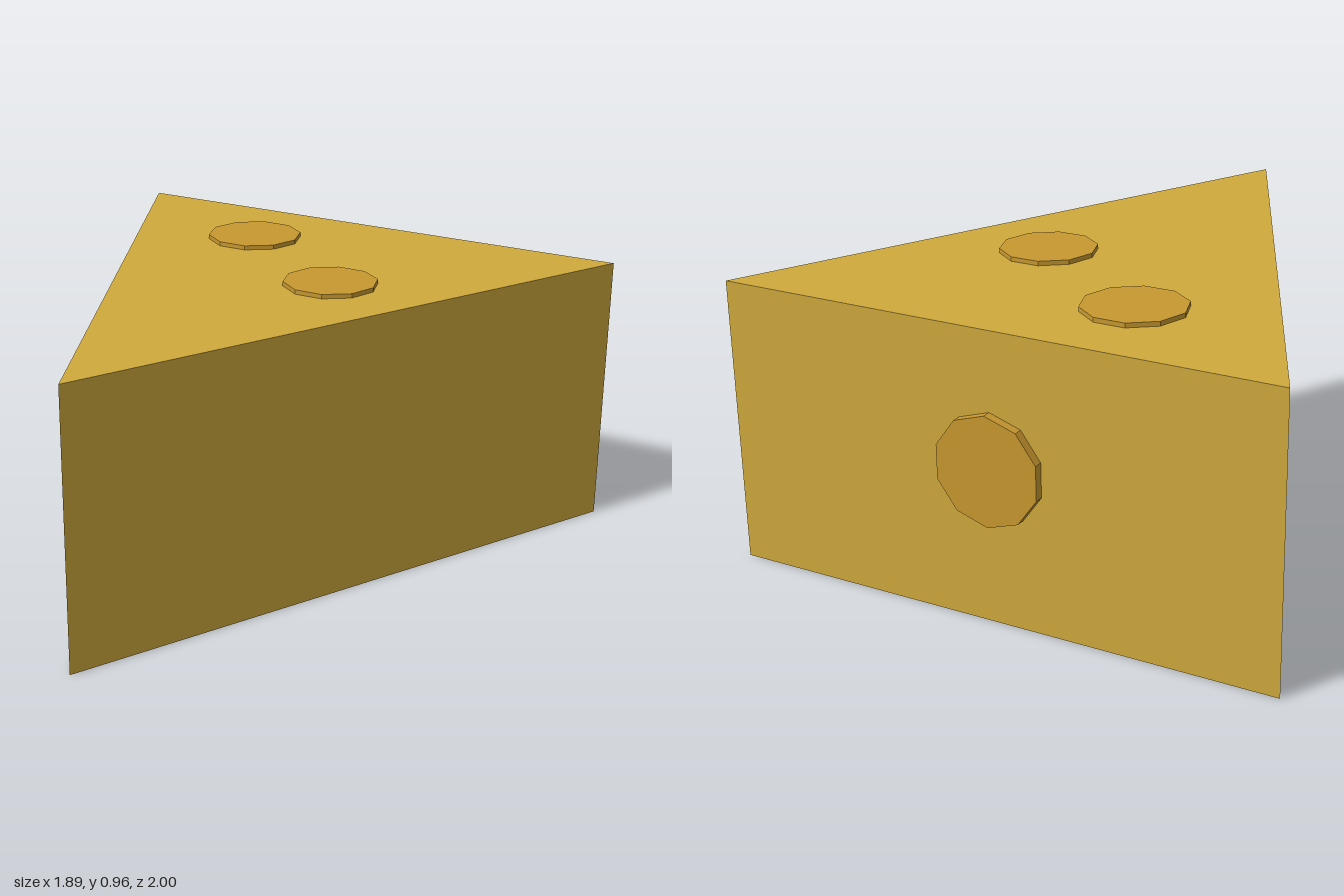
import * as THREE from 'three';

const HEIGHT = 0.95, HALF = 0.947, BACK = -0.97, TIP = 1;

export function createModel() {
  const group = new THREE.Group();
  group.name = 'cheeseWedge';
  const cheese = new THREE.MeshStandardMaterial({ name: 'cheese yellow', color: 0xd0aa3c });
  const hole = new THREE.MeshStandardMaterial({ name: 'hole amber', color: 0xc8982f });

  // Wedge: triangular plan extruded upwards (shape y becomes -z)
  const plan = new THREE.Shape([
    new THREE.Vector2(-HALF, -BACK),
    new THREE.Vector2(0, -TIP),
    new THREE.Vector2(HALF, -BACK),
  ]);
  const wedgeGeo = new THREE.ExtrudeGeometry(plan, { depth: HEIGHT, bevelEnabled: false });
  wedgeGeo.rotateX(-Math.PI / 2);
  const wedge = new THREE.Mesh(wedgeGeo, cheese);
  wedge.name = 'wedge';
  group.add(wedge);

  // Ten-sided hole discs, half sunk into the faces
  const up = new THREE.Vector3(0, 1, 0);
  function addHole(name, radius, proud, position, normal, thetaStart) {
    const geo = new THREE.CylinderGeometry(radius, radius, proud * 2, 10, 1, false, thetaStart).toNonIndexed();
    geo.computeVertexNormals();
    const mesh = new THREE.Mesh(geo, hole);
    mesh.name = name;
    mesh.position.set(...position);
    mesh.quaternion.setFromUnitVectors(up, normal);
    group.add(mesh);
    return mesh;
  }

  // Top holes
  addHole('topHoleBack', 0.168, 0.015, [-0.293, HEIGHT, -0.61], up, Math.PI / 2);
  addHole('topHoleFront', 0.161, 0.015, [0.217, HEIGHT, -0.243], up, Math.PI / 2);

  // Back hole
  addHole('backHole', 0.181, 0.03, [-0.002, 0.513, BACK], new THREE.Vector3(0, 0, -1), 0);

  // Hole on the right slanted side, turned so that a corner points up
  const z = -0.091;
  const side = addHole('sideHole', 0.195, 0.014,
    [-HALF * (TIP - z) / (TIP - BACK), 0.367, z], up, 0);
  side.rotation.set(Math.PI / 2, 0, Math.atan2(TIP - BACK, HALF), 'YXZ');
  side.rotation.set(Math.PI / 2, -Math.atan2(TIP - BACK, HALF), 0, 'YXZ');

  return group;
}
